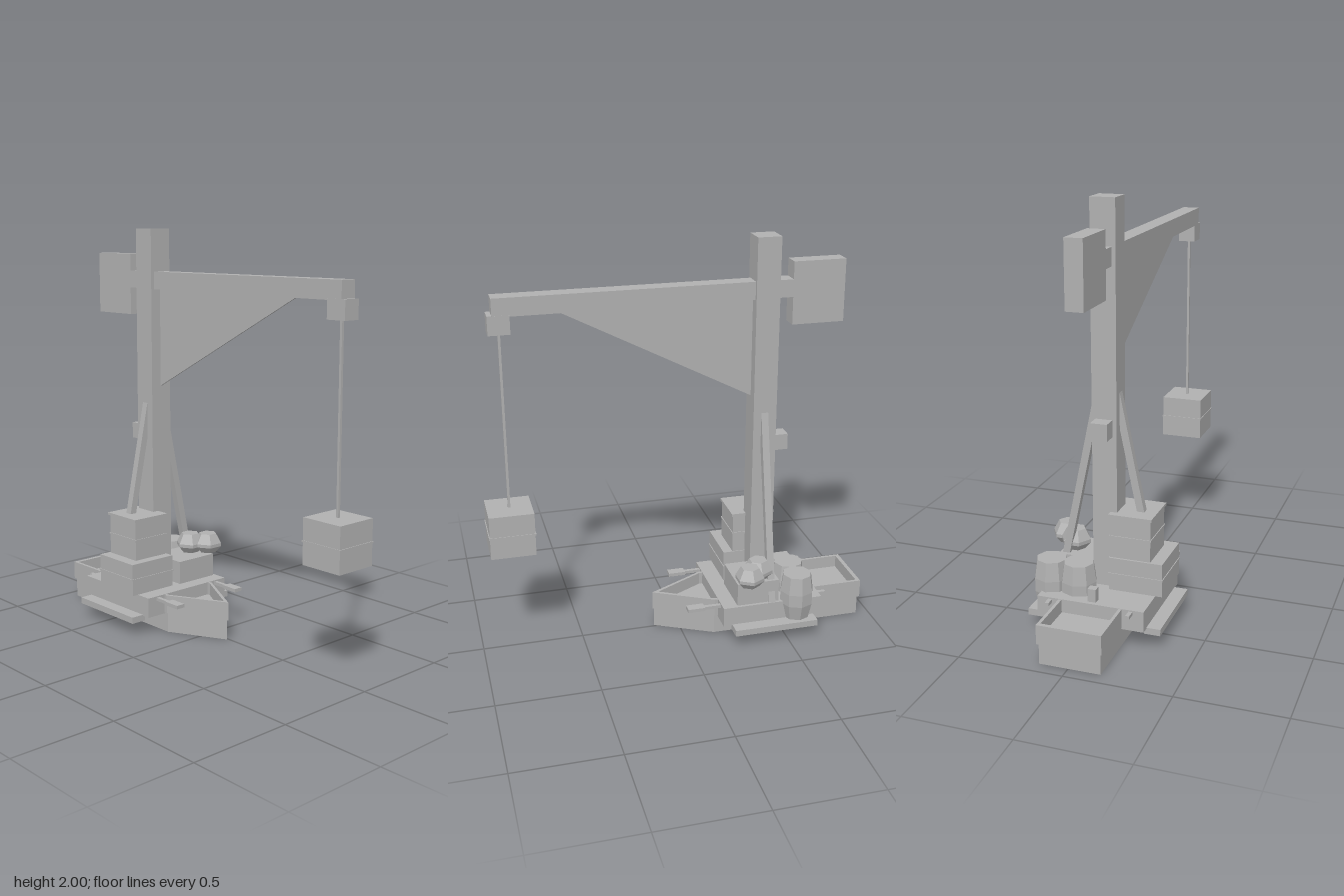
import * as THREE from 'three';

const grey = new THREE.MeshStandardMaterial({ color: 0xb0b0b0, side: THREE.DoubleSide });
grey.name = 'plain grey';
const CX = -0.008; // centre line of hull, mast and jib

export function createModel() {
  const root = new THREE.Group();
  root.name = 'craneBarge';

  function add(name, geometry) {
    const flat = geometry.index ? geometry.toNonIndexed() : geometry;
    flat.computeVertexNormals();
    const mesh = new THREE.Mesh(flat, grey);
    mesh.name = name;
    root.add(mesh);
    return mesh;
  }

  // Box given by its limits; "open" leaves out the underside
  function box(name, x0, x1, y0, y1, z0, z1, open = false) {
    const g = new THREE.BoxGeometry(x1 - x0, y1 - y0, z1 - z0);
    if (open) g.setIndex([...g.index.array].filter((v, i) => i < 18 || i > 23));
    g.translate((x0 + x1) / 2, (y0 + y1) / 2, (z0 + z1) / 2);
    return add(name, g);
  }

  // Hull plan: square stern, pointed bow
  function plan(half, stern, bow, Kind = THREE.Shape) {
    return new Kind([[-half, -stern], [half, -stern], [half, 0.155], [0, -bow], [-half, 0.155]]
      .map(([x, y]) => new THREE.Vector2(x + CX, y)));
  }
  function hullLayer(name, shape, y, height) {
    const g = new THREE.ExtrudeGeometry(shape, { depth: height, bevelEnabled: false });
    g.rotateX(-Math.PI / 2).translate(0, y, 0);
    add(name, g);
  }
  hullLayer('lowerHull', plan(0.145, -0.935, 0.125), 0, 0.1);
  const rim = plan(0.153, -0.945, 0.133);
  rim.holes.push(plan(0.138, -0.925, 0.1, THREE.Path));
  hullLayer('hullRim', rim, 0.1, 0.093);
  hullLayer('hullFloor', plan(0.14, -0.93, 0.105), 0.1, 0.03);

  // Deck, side floats and long outriggers with pads
  box('deck', -0.265, 0.25, 0.095, 0.195, -0.687, -0.172, true);
  for (const s of [-1, 1]) {
    const span = (name, a, b, ...rest) =>
      box(name, Math.min(s * a, s * b) + CX, Math.max(s * a, s * b) + CX, ...rest);
    span('sideFloat', 0.245, 0.323, 0.068, 0.1, -0.647, -0.217);
    span('outrigger', 0.185, 0.204, 0.172, 0.188, -0.73, -0.02);
    span('outriggerPad', 0.171, 0.218, 0.174, 0.192, -0.087, 0);
  }

  // Two-storey cabin with thin bands and a cap
  box('lowerCabin', -0.297, -0.038, 0.195, 0.355, -0.52, -0.255);
  box('lowerCabinBand', -0.301, -0.034, 0.272, 0.28, -0.524, -0.251);
  box('upperCabin', -0.237, -0.042, 0.355, 0.555, -0.51, -0.303);
  box('upperCabinBand', -0.241, -0.038, 0.455, 0.463, -0.514, -0.299);
  box('cabinCap', -0.245, -0.036, 0.555, 0.568, -0.518, -0.296);
  box('deckBox', 0.005, 0.235, 0.195, 0.312, -0.462, -0.247);
  box('deckPost', -0.03, 0.01, 0.195, 0.258, -0.668, -0.63);

  // Mast, jib and counterweight
  box('mast', -0.068, 0.05, 0.1, 2, -0.485, -0.368);
  box('mastBlock', -0.048, 0.032, 0.93, 1.01, -0.555, -0.485, true);
  box('jib', -0.05, 0.034, 1.703, 1.79, -0.368, 0.863, true);
  box('jibTail', -0.05, 0.034, 1.705, 1.79, -0.56, -0.485, true);
  box('jibTip', -0.051, 0.035, 1.62, 1.71, 0.783, 0.885, true);
  box('counterweight', -0.05, 0.034, 1.57, 1.875, -0.815, -0.555, true);

  // Triangular web under the jib
  const web = new THREE.Shape([[0.57, 1.705], [-0.368, 1.705], [-0.368, 1.217]]
    .map(([z, y]) => new THREE.Vector2(-z, y)));
  const webGeometry = new THREE.ExtrudeGeometry(web, { depth: 0.008, bevelEnabled: false });
  add('jibWeb', webGeometry.rotateY(Math.PI / 2).translate(CX - 0.004, 0, 0));

  // Slanted mast stays
  for (const s of [-1, 1]) {
    const foot = new THREE.Vector2(s * 0.238, 0.19), head = new THREE.Vector2(s * 0.04, 1.14);
    const run = head.clone().sub(foot);
    const stay = add('mastStay', new THREE.BoxGeometry(0.035, run.length(), 0.035));
    stay.position.set((foot.x + head.x) / 2 + CX, (foot.y + head.y) / 2, -0.425);
    stay.rotation.z = Math.atan2(-run.x, run.y);
  }

  // Hanging load
  box('rope', CX - 0.006, CX + 0.006, 0.755, 1.63, 0.826, 0.838);
  box('crate', -0.116, 0.098, 0.54, 0.757, 0.725, 0.941, true);
  for (const z of [0.723, 0.941]) box('crateBand', -0.119, 0.101, 0.644, 0.653, z - 0.002, z + 0.004);
  for (const x of [-0.119, 0.097]) box('crateBand', x, x + 0.004, 0.644, 0.653, 0.721, 0.945);

  // Turned goods on deck: profile of [radius, height]
  function turned(name, profile, sides, x, z, turn = 0) {
    const points = profile.map(([r, y]) => new THREE.Vector2(r, y));
    add(name, new THREE.LatheGeometry(points, sides, turn).translate(x, 0, z));
  }
  const barrel = [[0, 0.1], [0.068, 0.1], [0.086, 0.18], [0.086, 0.245], [0.073, 0.335], [0, 0.335]];
  const pot = [[0, 0.312], [0.045, 0.312], [0.074, 0.345], [0.074, 0.362], [0.046, 0.412], [0, 0.412]];
  for (const x of [0.093, 0.228]) turned('barrel', barrel, 8, x, -0.56);
  turned('pot', pot, 6, 0.182, -0.367, Math.PI / 6);
  turned('pot', pot, 6, 0.25, -0.303, Math.PI / 6);

  return root;
}
